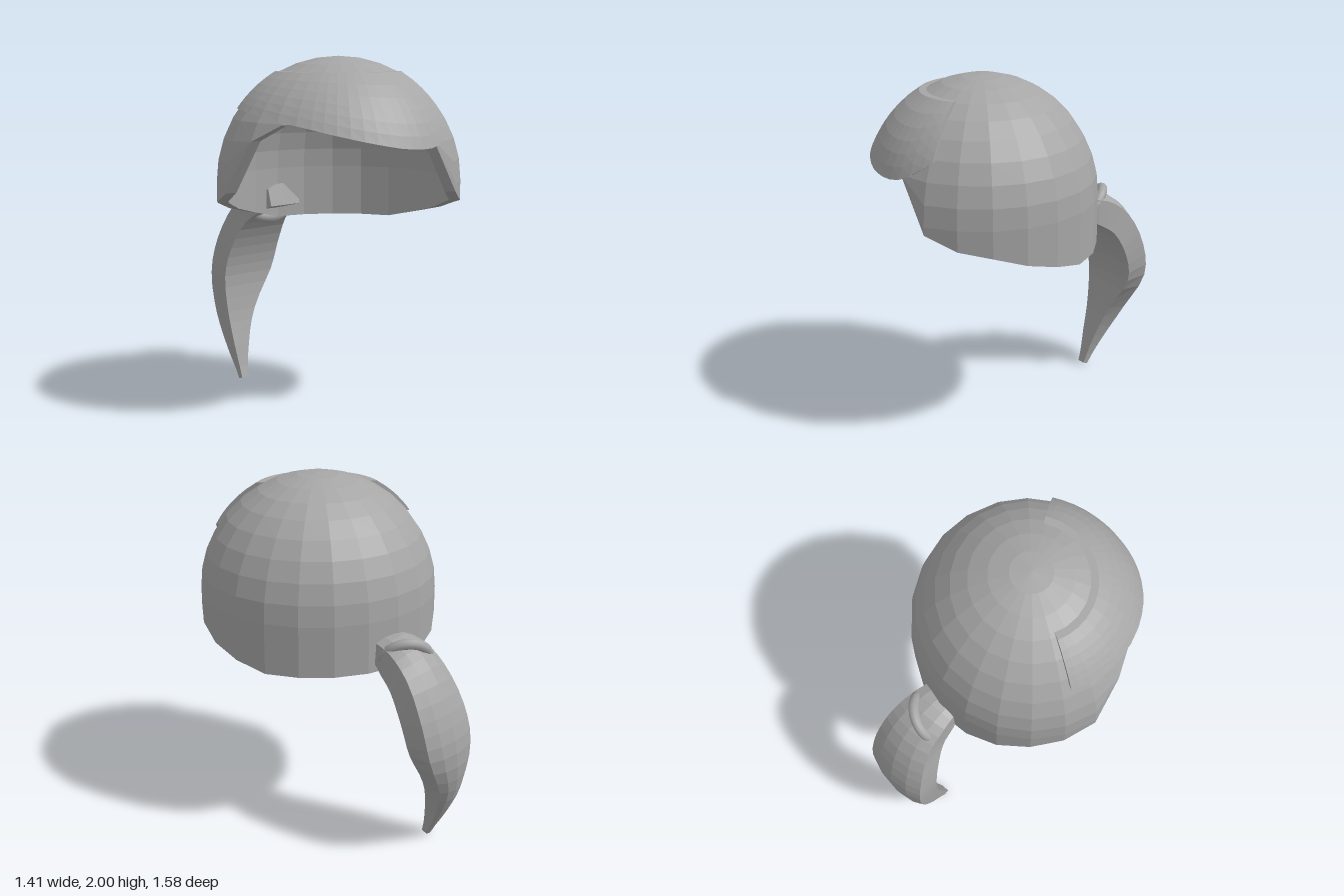
import * as THREE from 'three';

const hair = new THREE.MeshStandardMaterial({ color: 0xa6a6a6 });
hair.name = 'hair grey';

const CENTRE = new THREE.Vector3(0.045, 1.33, 0.185); // middle of the dome
const RADIUS = new THREE.Vector3(0.673, 0.67, 0.645);

// Skin a row of closed cross-sections with faceted quads; close the ends or join them.
function loft(rings, joined) {
  const pos = [];
  const quad = (a, b, c, d) => [a, b, c, a, c, d].forEach(p => pos.push(p.x, p.y, p.z));
  const n = rings[0].length;
  const last = joined ? rings.length : rings.length - 1;
  for (let i = 0; i < last; i++) {
    const a = rings[i], b = rings[(i + 1) % rings.length];
    for (let j = 0; j < n; j++) {
      const k = (j + 1) % n;
      quad(a[j], a[k], b[k], b[j]);
    }
  }
  if (!joined) {
    const a = rings[0], b = rings[rings.length - 1];
    for (let j = 0; j < n / 2 - 1; j++) {
      quad(a[n - 1 - j], a[n - 2 - j], a[j + 1], a[j]);
      quad(b[j], b[j + 1], b[n - 2 - j], b[n - 1 - j]);
    }
  }
  const geo = new THREE.BufferGeometry();
  geo.setAttribute('position', new THREE.Float32BufferAttribute(pos, 3));
  geo.computeVertexNormals();
  return geo;
}

// Point on the dome (upright below its equator); phi = 0 is the front, positive toward +x.
function domePoint(phi, y, scale) {
  const h = Math.min(1, Math.max(0, (y - CENTRE.y) / (RADIUS.y * scale)));
  const r = Math.sqrt(1 - h * h) * scale;
  return new THREE.Vector3(
    CENTRE.x + RADIUS.x * r * Math.sin(phi), y, CENTRE.z + RADIUS.z * r * Math.cos(phi));
}

// Thick cap, with the hem height listed from the back round to the brow
function capGeometry() {
  const hem = [1.04, 1.04, 1.04, 1.08, 1.125, 1.18, 1.215, 1.285, 1.57, 1.66, 1.67, 1.67];
  const rings = [];
  for (let k = -11; k < 11; k++) {
    const bottom = hem[Math.abs(k)];
    const phi = Math.PI - (k * Math.PI * 2) / 22;
    const wall = scale => {
      const pts = [];
      for (let i = 0; i <= 9; i++) {
        const y = CENTRE.y + RADIUS.y * scale * Math.cos((i * Math.PI) / 18);
        pts.push(domePoint(phi, Math.max(y, bottom), scale));
      }
      pts.push(domePoint(phi, bottom, scale));
      return pts;
    };
    rings.push([...wall(1), ...wall(0.91).reverse()]);
  }
  return loft(rings.reverse(), true);
}

// Swept fringe over the brow: [degrees from the front, lower edge height]
function fringeGeometry() {
  const edge = new THREE.SplineCurve([
    [-77, 1.725], [-57, 1.71], [-24, 1.66], [-4, 1.615], [15, 1.57],
    [32, 1.54], [50, 1.55], [68, 1.66],
  ].map(p => new THREE.Vector2(p[0] / 100, p[1])));
  const rings = edge.getPoints(21).map(p => {
    const phi = THREE.MathUtils.degToRad(p.x * 100);
    const wall = scale => Array.from({ length: 7 }, (_, i) =>
      domePoint(phi, THREE.MathUtils.lerp(1.92, p.y, i / 6), scale));
    return [...wall(1.027), ...wall(0.98).reverse()];
  });
  return loft(rings, false);
}

// Curved tail with a rounded outer face: [x, y, z, width, thickness]
function ponytailGeometry() {
  const stations = [
    [-0.25, 1.165, -0.30, 0.22, 0.11],
    [-0.33, 1.125, -0.42, 0.28, 0.16],
    [-0.40, 1.04, -0.52, 0.32, 0.16],
    [-0.475, 0.85, -0.595, 0.37, 0.155],
    [-0.52, 0.65, -0.615, 0.36, 0.15],
    [-0.555, 0.41, -0.555, 0.21, 0.13],
    [-0.54, 0.2, -0.48, 0.11, 0.085],
    [-0.505, 0.012, -0.415, 0.05, 0.035],
  ];
  const path = new THREE.CatmullRomCurve3(stations.map(s => new THREE.Vector3(s[0], s[1], s[2])));
  const size = new THREE.SplineCurve(stations.map(s => new THREE.Vector2(s[3], s[4])));
  const side = new THREE.Vector3(0.774, 0, -0.633);
  // Section corners as fractions of half width and half thickness
  const section = [[-1, 0.85], [-0.55, 1.25], [0, 1.4], [0.55, 1.25], [1, 0.85], [1, -1], [0, -1], [-1, -1]];
  const rings = [];
  const steps = 21;
  for (let i = 0; i <= steps; i++) {
    const t = i / steps;
    const c = path.getPoint(t), s = size.getPoint(t), dir = path.getTangent(t);
    const out = new THREE.Vector3().crossVectors(side, dir).normalize();
    rings.push(section.map(([u, o]) => c.clone()
      .addScaledVector(side, (u * s.x) / 2)
      .addScaledVector(out, (o * s.y) / 2)));
  }
  return loft(rings, false);
}

export function createModel() {
  const group = new THREE.Group();
  group.name = 'hairstyle';
  const add = (name, geometry) => {
    const mesh = new THREE.Mesh(geometry, hair);
    mesh.name = name;
    group.add(mesh);
    return mesh;
  };

  add('hairCap', capGeometry());
  add('fringe', fringeGeometry());
  add('ponytail', ponytailGeometry());

  // Band round the root of the tail
  const tie = add('hairTie', new THREE.TorusGeometry(0.125, 0.03, 10, 28));
  tie.position.set(-0.345, 1.125, -0.435);
  tie.rotation.x = -0.57;

  return group;
}
